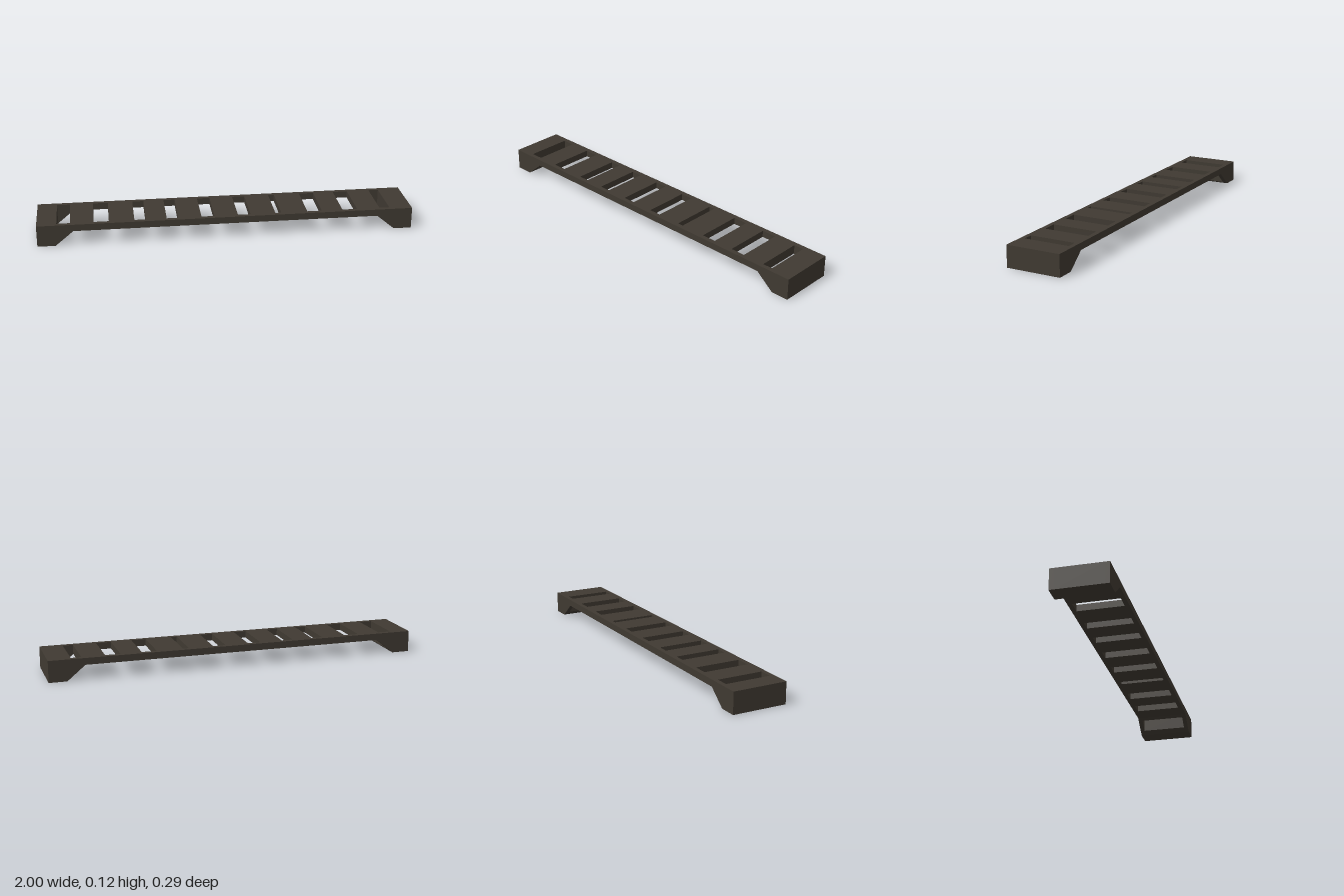
import * as THREE from 'three';

const TOP = 0.115, HALF_DEPTH = 0.147, RAIL = 0.024;
// underside outline: feet, ramps and flat span
const UNDER = [[-1, 0], [-0.905, 0], [-0.81, 0.079], [0.81, 0.079], [0.905, 0], [1, 0]];
// start and end of each opening along x
const SLOTS = [
  [-0.896, -0.826], [-0.703, -0.623], [-0.49, -0.43], [-0.32, -0.259], [-0.136, -0.067],
  [0.058, 0.126], [0.259, 0.291], [0.432, 0.511], [0.623, 0.703], [0.826, 0.88],
];

function underY(x) {
  for (let i = 1; i < UNDER.length; i++) {
    const [x0, y0] = UNDER[i - 1], [x1, y1] = UNDER[i];
    if (x <= x1) return y0 + (y1 - y0) * (x - x0) / (x1 - x0);
  }
  return 0;
}

// slice of the profile between two x positions, extruded along z
function slice(x0, x1, z0, z1) {
  const pts = [[x0, underY(x0)], ...UNDER.filter(([x]) => x > x0 && x < x1), [x1, underY(x1)], [x1, TOP], [x0, TOP]];
  const shape = new THREE.Shape(pts.map(([x, y]) => new THREE.Vector2(x, y)));
  const geo = new THREE.ExtrudeGeometry(shape, { depth: z1 - z0, bevelEnabled: false });
  return geo.translate(0, 0, z0);
}

export function createModel() {
  const group = new THREE.Group();
  group.name = 'slottedBridge';
  const material = new THREE.MeshStandardMaterial({ color: 0x403a32 });
  material.name = 'dark weathered wood';
  const add = (name, geo) => {
    const mesh = new THREE.Mesh(geo, material);
    mesh.name = name;
    group.add(mesh);
  };

  // side rails running the full length, feet included
  const inner = HALF_DEPTH - RAIL;
  add('frontRail', slice(-1, 1, inner, HALF_DEPTH));
  add('backRail', slice(-1, 1, -HALF_DEPTH, -inner));

  // cross slats fill the space between openings; the end ones form the feet
  const edges = [-1, ...SLOTS.flat(), 1];
  for (let i = 0; i < edges.length; i += 2) {
    const isEnd = i === 0 || i === edges.length - 2;
    add(isEnd ? 'endBlock' : 'slat', slice(edges[i], edges[i + 1], -inner, inner));
  }
  return group;
}
